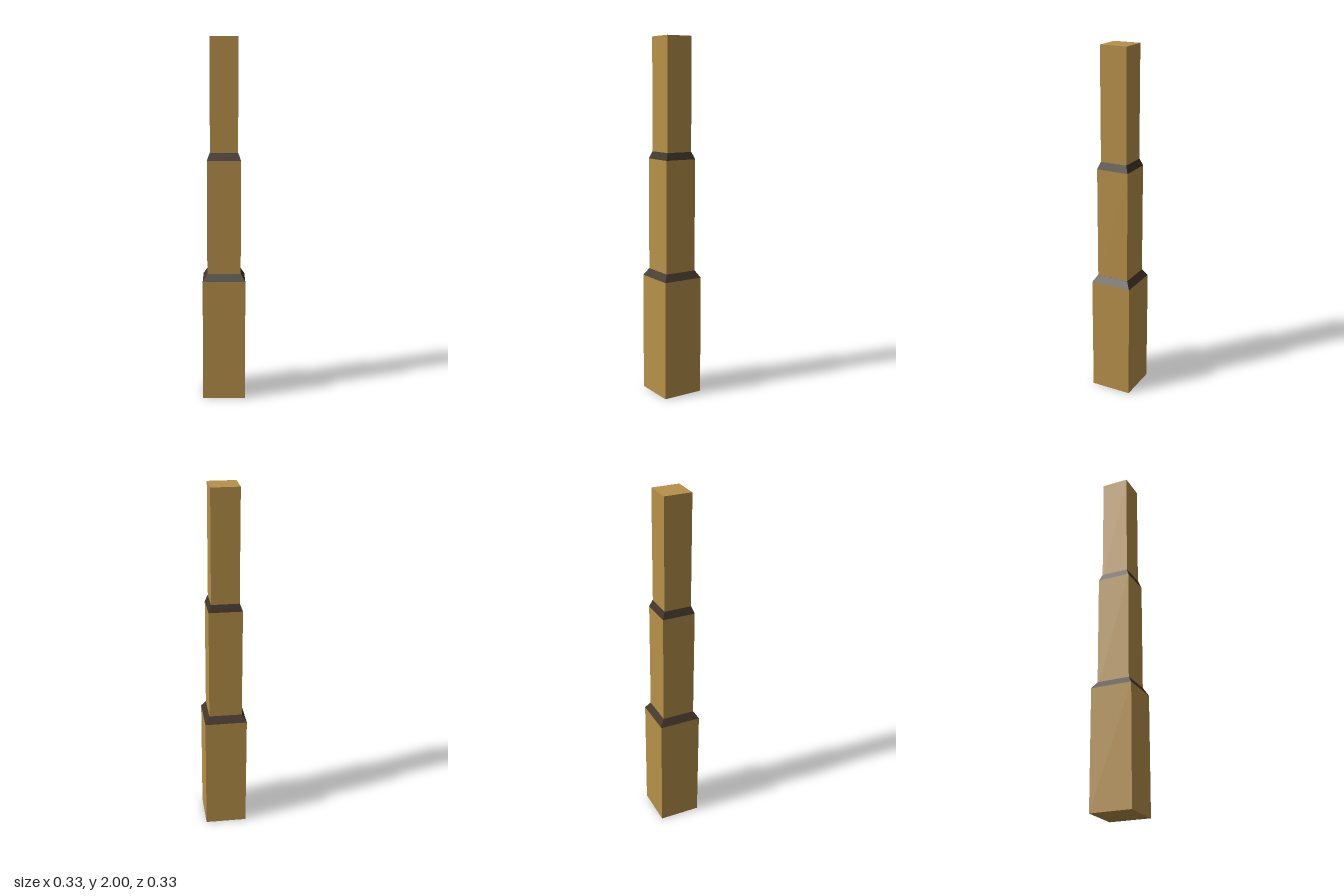
import * as THREE from 'three';

export function createModel() {
  const wood = new THREE.MeshStandardMaterial({ color: 0xb8914a, flatShading: true });
  wood.name = 'tan wood';
  const dark = new THREE.MeshStandardMaterial({ color: 0x41362a, flatShading: true });
  dark.name = 'dark trim';

  const model = new THREE.Group();
  model.name = 'steppedPost';

  // Four-sided prism with its corners on the x and z axes
  function section(name, rBottom, rTop, y0, y1, material, open = false) {
    const geometry = new THREE.CylinderGeometry(rTop, rBottom, y1 - y0, 4, 1, open);
    const mesh = new THREE.Mesh(geometry, material);
    mesh.name = name;
    mesh.position.y = (y0 + y1) / 2;
    model.add(mesh);
  }

  // Three shafts, each narrower than the one below
  section('lowerShaft', 0.167, 0.167, 0, 0.67, wood);
  section('middleShaft', 0.131, 0.131, 0.67, 1.337, wood);
  section('upperShaft', 0.109, 0.109, 1.337, 2, wood);

  // Sloping dark collars where the shafts step in
  section('lowerCollar', 0.167, 0.132, 0.67, 0.71, dark);
  section('upperCollar', 0.131, 0.11, 1.337, 1.377, dark);

  return model;
}
